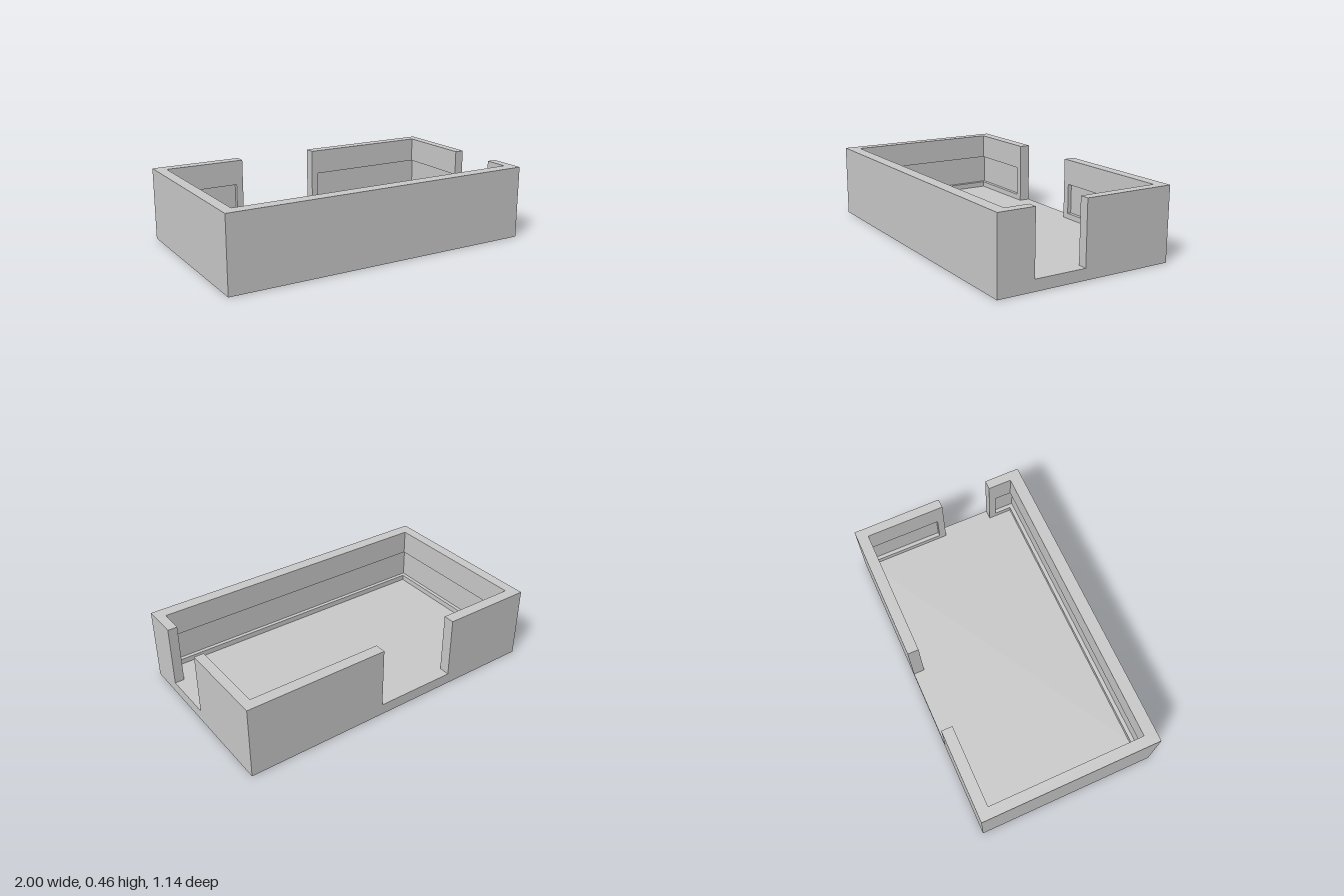
import * as THREE from 'three';

const FLOOR = 0.07, TOP = 0.46;          // floor thickness and wall height
const LOW = 0.105, HIGH = 0.3;           // bottom and top of the inner wall recess
const R = 0.025;                         // recess depth

// Plan loops, counter-clockwise from above: [x, z, recess shift x, recess shift z]
const MAIN_WALL = [
  [-0.42, -0.571], [-1, -0.571], [-1, 0.571], [1, 0.571], [1, 0.34], [0.94, 0.34],
  [0.94, 0.385], [0.94, 0.385, R, 0],
  [0.94, 0.493, R, R], [-0.932, 0.493, -R, R], [-0.932, -0.5, -R, -R],
  [-0.465, -0.5, 0, -R], [-0.465, -0.5], [-0.42, -0.5],
];
const CORNER_WALL = [
  [1, 0.01], [1, -0.571], [0.1, -0.571], [0.1, -0.5],
  [0.145, -0.5], [0.145, -0.5, 0, -R],
  [0.94, -0.5, R, -R],
  [0.94, -0.035, R, 0], [0.94, -0.035], [0.94, 0.01],
];

// Lofts a plan loop upward, stepping into the recess and back out, then caps the top
function wallGeometry(loop) {
  const rings = [[FLOOR, 0], [LOW, 0], [LOW, 1], [HIGH, 1], [HIGH, 0], [TOP, 0]].map(([y, k]) =>
    loop.map(([x, z, dx = 0, dz = 0]) => new THREE.Vector3(x + dx * k, y, z + dz * k)));
  const out = [];
  const tri = new THREE.Triangle();
  const add = (a, b, c) => {
    tri.set(a, b, c);
    if (tri.getArea() > 1e-7) out.push(a, b, c);   // skip collapsed faces
  };
  for (let r = 0; r < rings.length - 1; r++) {
    for (let i = 0; i < loop.length; i++) {
      const j = (i + 1) % loop.length;
      const a = rings[r][i], b = rings[r][j], c = rings[r + 1][j], d = rings[r + 1][i];
      add(a, b, c);
      add(a, c, d);
    }
  }
  const rim = rings[rings.length - 1];
  const flat = rim.map((p) => new THREE.Vector2(p.x, -p.z));
  for (const [a, b, c] of THREE.ShapeUtils.triangulateShape(flat, [])) add(rim[a], rim[b], rim[c]);

  const geometry = new THREE.BufferGeometry().setFromPoints(out);
  geometry.computeVertexNormals();
  return geometry;
}

export function createModel() {
  const group = new THREE.Group();
  group.name = 'openTray';
  const material = new THREE.MeshStandardMaterial({ color: 0xcccccc, flatShading: true });
  const addPart = (name, geometry) => {
    const mesh = new THREE.Mesh(geometry, material);
    mesh.name = name;
    group.add(mesh);
    return mesh;
  };

  // Base slab
  addPart('floor', new THREE.BoxGeometry(2, FLOOR, 1.142)).position.y = FLOOR / 2;

  // Walls, separated by the back and side openings
  addPart('mainWall', wallGeometry(MAIN_WALL));
  addPart('backCornerWall', wallGeometry(CORNER_WALL));

  return group;
}
